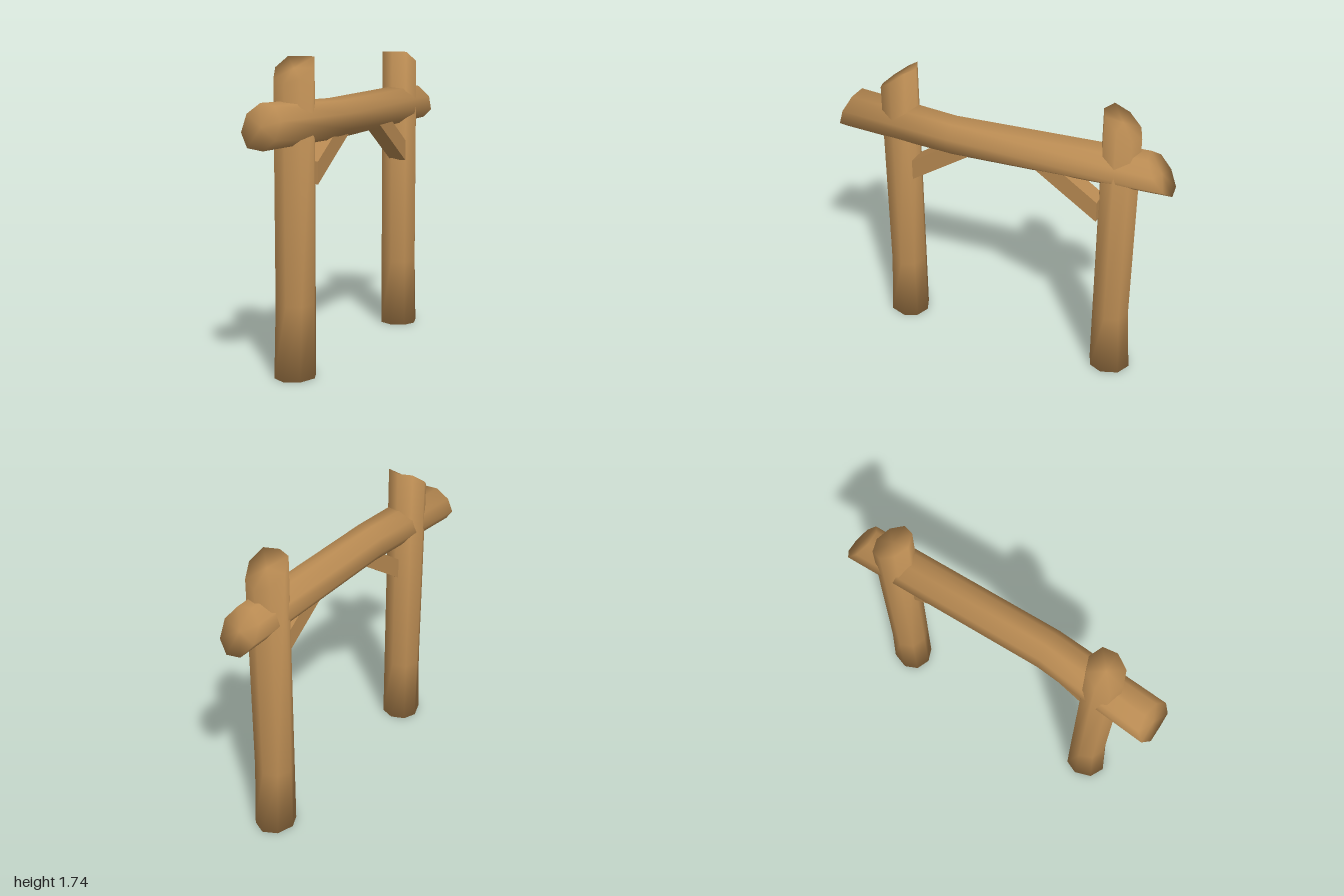
import * as THREE from 'three';

const SIDES = 8;

// Smooth log through rings of points, closed by a cap at each end.
// The end axes tilt the rim normals so the ends look softly worn.
function log(rings, startAxis, endAxis, material, name) {
  const points = rings.flat();
  const last = rings.length - 1;
  const index = [];
  const middle = (ring) => ring.reduce((s, p) => s.add(p), new THREE.Vector3()).divideScalar(SIDES);
  const startId = points.push(middle(rings[0])) - 1;
  const endId = points.push(middle(rings[last])) - 1;
  for (let j = 0; j < SIDES; j++) {
    const k = (j + 1) % SIDES;
    for (let i = 0; i < last; i++) {
      const a = i * SIDES + j, b = i * SIDES + k;
      index.push(a, b, b + SIDES, a, b + SIDES, a + SIDES);
    }
    index.push(startId, k, j, endId, last * SIDES + j, last * SIDES + k);
  }
  const geometry = new THREE.BufferGeometry().setFromPoints(points);
  geometry.setIndex(index);
  geometry.computeVertexNormals();
  const normals = geometry.attributes.normal;
  const n = new THREE.Vector3();
  const tilt = (id, axis) => {
    n.fromBufferAttribute(normals, id).addScaledVector(axis, 0.55).normalize();
    normals.setXYZ(id, n.x, n.y, n.z);
  };
  for (let j = 0; j < SIDES; j++) {
    tilt(j, startAxis);
    tilt(last * SIDES + j, endAxis);
  }
  const mesh = new THREE.Mesh(geometry, material);
  mesh.name = name;
  return mesh;
}

// Ring of points made by a rule of cosine and sine
function ring(offset, rule) {
  return Array.from({ length: SIDES }, (_, j) => {
    const a = offset + (j / SIDES) * Math.PI * 2;
    return new THREE.Vector3(...rule(Math.cos(a), Math.sin(a)));
  });
}

// Upright post: foot flares on its outer side, top is cut at a slant
function post(z0, side, material, name) {
  const level = (flare, height) => ring(0, (c, s) => {
    const out = -s * side * 0.11; // distance towards the outside
    const wide = out > 0 ? out * (1 + flare) : out;
    return [-0.015 + c * 0.115, height(out), z0 + side * wide];
  });
  const top = (out) => Math.min(1.74, 1.6 + (0.11 - out) * 0.74);
  return log(
    [level(0.27, () => 0), level(0, () => 0.41), level(0, top)],
    new THREE.Vector3(0, -1, 0),
    new THREE.Vector3(0, 0.8, 0.6 * side),
    material, name);
}

// Crossbeam: slightly bent log with slanted ends
function beam(material) {
  const section = (x, y, r, z) => ring(Math.PI / 12, (c, s) => {
    const px = x + c * r, py = y + s * r;
    return [px, py, z(px, py)];
  });
  return log([
    section(-0.012, 1.418, 0.114, (x, y) => Math.max(-1, -0.85 - (1.525 - y) * 0.7)),
    section(0.025, 1.39, 0.115, () => 0.28),
    section(-0.025, 1.392, 0.123, (x, y) => Math.min(1, 0.92 + (1.515 - y) * 0.4 + x * 0.12)),
  ], new THREE.Vector3(0, 0.57, -0.82), new THREE.Vector3(0, 0.37, 0.93), material, 'crossbeam');
}

// Diagonal brace with a plumb-cut foot against the post
function brace(z0, y0, side, material, name) {
  const shape = new THREE.Shape([[0, 0], [0, 0.125], [0.28, 0.315], [0.41, 0.277]]
    .map(([d, y]) => new THREE.Vector2(-(z0 - side * d), y0 + y)));
  const geometry = new THREE.ExtrudeGeometry(shape, { depth: 0.105, bevelEnabled: false });
  geometry.rotateY(Math.PI / 2); // profile now runs along z
  geometry.translate(-0.033, 0, 0);
  const mesh = new THREE.Mesh(geometry, material);
  mesh.name = name;
  return mesh;
}

export function createModel() {
  const wood = new THREE.MeshStandardMaterial({ color: 0xb88a52 });
  wood.name = 'wood';
  const group = new THREE.Group();
  group.name = 'timberGateway';
  group.add(
    post(0.64, 1, wood, 'frontPost'),
    post(-0.69, -1, wood, 'backPost'),
    beam(wood),
    brace(0.54, 1.053, 1, wood, 'frontBrace'),
    brace(-0.597, 1.066, -1, wood, 'backBrace'),
  );
  return group;
}
